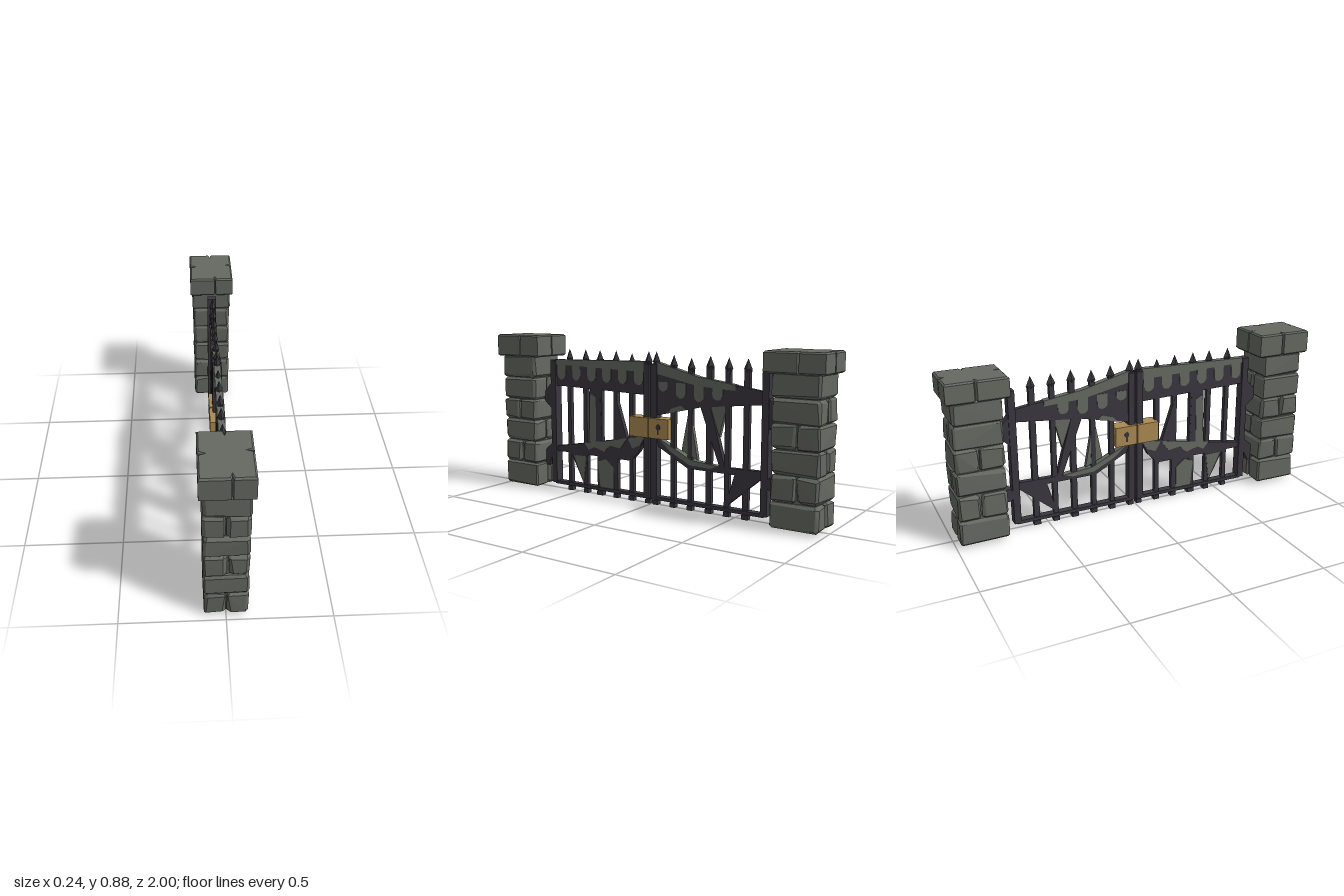
import * as THREE from 'three';
import { ConvexGeometry } from 'three/addons/geometries/ConvexGeometry.js';

export function createModel() {
  const root = new THREE.Group();
  root.name = 'stoneGate';
  const material = (name, color) => Object.assign(new THREE.MeshStandardMaterial({ color, flatShading: true }), { name });
  const stone = material('stone', 0x666962);
  const iron = material('iron', 0x3a383f);
  const brass = material('brass', 0xab8a52);

  let seed = 11;
  const rand = () => (seed = (seed * 16807) % 2147483647) / 2147483647;
  const jitter = (a) => (rand() - 0.5) * 2 * a;

  const add = (parent, name, geo, mat, x = 0, y = 0, z = 0) => {
    const m = new THREE.Mesh(geo, mat);
    m.name = name;
    m.position.set(x, y, z);
    parent.add(m);
    return m;
  };

  // Rough hewn block: every corner is cut off by an uneven chamfer
  const block = (parent, name, x0, x1, y0, y1, z0, z1) => {
    const pts = [];
    const h = [(x1 - x0) / 2, (y1 - y0) / 2, (z1 - z0) / 2];
    for (const sx of [-1, 1]) for (const sy of [-1, 1]) for (const sz of [-1, 1]) {
      const c = 0.009 + rand() * 0.012;
      const p = [h[0] - rand() * 0.006, h[1] - rand() * 0.005, h[2] - rand() * 0.006];
      for (let k = 0; k < 3; k++) {
        const q = p.map((v, i) => (i === k ? v : v - c * (0.5 + rand() * 0.6)));
        pts.push(new THREE.Vector3(q[0] * sx, q[1] * sy, q[2] * sz));
      }
    }
    add(parent, name, new ConvexGeometry(pts), stone, (x0 + x1) / 2, (y0 + y1) / 2, (z0 + z1) / 2);
  };

  // Flat piece drawn in (z, y) and thickened across x
  const extrudeZY = (shape, t) => {
    const g = new THREE.ExtrudeGeometry(shape, { depth: t, bevelEnabled: false, curveSegments: 6 });
    return g.translate(0, 0, -t / 2).rotateY(-Math.PI / 2);
  };
  const plate = (parent, name, pts, t, mat) =>
    add(parent, name, extrudeZY(new THREE.Shape(pts.map((p) => new THREE.Vector2(p[0], p[1]))), t), mat);

  // Pillars: six courses with alternating joints and a notched cap
  const pillar = (name, s, levels, capTop) => {
    const g = new THREE.Group();
    g.name = name;
    root.add(g);
    const zs = (a, b) => (s > 0 ? [a, b] : [-b, -a]);
    const [zi, zo] = zs(0.73, 0.98);
    const mid = (zi + zo) / 2;
    const top = levels[levels.length - 1];
    add(g, 'pillarCore', new THREE.BoxGeometry(0.17, top - 0.03, 0.2), stone, 0, top / 2 + 0.005, mid);
    for (let i = 0; i < levels.length - 1; i++) {
      const y0 = levels[i] + 0.001, y1 = levels[i + 1] + 0.003, w = 0.108 + jitter(0.003);
      if (i === 5) block(g, 'stoneBlock', -w, w, y0, y1, zi, zo);
      else if (i % 2 === 0) {
        const c = jitter(0.012);
        block(g, 'stoneBlock', -w, c, y0, y1, zi, zo);
        block(g, 'stoneBlock', c, w, y0, y1, zi, zo);
      } else {
        const c = mid + jitter(0.012);
        block(g, 'stoneBlock', -w, w, y0, y1, zi, c);
        block(g, 'stoneBlock', -w, w, y0, y1, c, zo);
      }
    }
    // Cap outline with chipped cracks in its rim
    const a = 0.112, b = 0.1445, n = 0.01;
    const rim = [[-a, -b], [0.01, -b], [0.02, -b + 0.03], [0.03, -b], [a, -b], [a, 0.01], [a - 0.03, 0.02],
      [a, 0.03], [a, b], [n, b], [0, b - 0.03], [-n, b], [-a, b], [-a, 0.02], [-a + 0.03, 0.005], [-a, -0.005]];
    const y0 = top - 0.008, bev = 0.008;
    const cap = new THREE.ExtrudeGeometry(new THREE.Shape(rim.map((p) => new THREE.Vector2(p[0], p[1]))),
      { depth: capTop - y0 - 2 * bev, bevelSize: bev, bevelThickness: bev, bevelSegments: 1 });
    cap.rotateX(-Math.PI / 2);
    add(g, 'pillarCap', cap, stone, 0, y0 + bev, s * 0.8475);
  };
  pillar('frontPillar', 1, [0.012, 0.147, 0.272, 0.395, 0.515, 0.64, 0.77], 0.885);
  pillar('backPillar', -1, [0.012, 0.14, 0.27, 0.39, 0.51, 0.63, 0.752], 0.848);

  // Leaf frame, spear bars and hinges; s = +1 front leaf, -1 back leaf
  const leaf = (name, s, bars) => {
    const g = new THREE.Group();
    g.name = name;
    root.add(g);
    add(g, 'outerPost', new THREE.BoxGeometry(0.05, 0.71, 0.036), iron, 0, 0.39, s * 0.667);
    add(g, 'innerPost', new THREE.BoxGeometry(0.046, 0.72, 0.036), iron, 0, 0.39, s * 0.023);
    add(g, 'bottomRail', new THREE.BoxGeometry(0.04, 0.018, 0.64), iron, 0, 0.037, s * 0.345);
    bars.forEach(([z, w, top]) => {
      add(g, 'spearBar', new THREE.BoxGeometry(0.024, top - 0.05, w), iron, 0, (top - 0.05) / 2, s * z);
      const tip = add(g, 'spearTip', new THREE.ConeGeometry(0.023, 0.052, 4), iron, 0, top - 0.026, s * z);
      const neck = add(g, 'spearNeck', new THREE.CylinderGeometry(0.023, 0.012, 0.022, 4), iron, 0, top - 0.063, s * z);
      tip.scale.x = neck.scale.x = 0.75;
      add(g, 'spearFoot', new THREE.BoxGeometry(0.03, 0.022, w + 0.006), iron, 0, 0.011, s * z);
    });
    // Pointed upper hinge and round lower hinge
    plate(g, 'upperHinge', [[s * 0.68, 0.62], [s * 0.735, 0.56], [s * 0.735, 0.51], [s * 0.68, 0.46]], 0.04, iron);
    if (s > 0) plate(g, 'lowerHinge', [[0.68, 0.27], [0.735, 0.22], [0.735, 0.13], [0.715, 0.13], [0.68, 0.2]], 0.04, iron);
    else add(g, 'lowerHinge', new THREE.CylinderGeometry(0.035, 0.035, 0.05, 10).rotateZ(Math.PI / 2), iron, 0, 0.2, -0.71);
    // Lock half
    add(g, 'lockPlate', new THREE.BoxGeometry(0.08, 0.106, 0.12), brass, 0, 0.415, s * 0.064);
    return g;
  };
  const front = leaf('frontLeaf', 1, [[0.56, 0.024, 0.81], [0.445, 0.026, 0.81], [0.345, 0.034, 0.81],
    [0.235, 0.026, 0.81], [0.13, 0.026, 0.8], [0.022, 0.024, 0.815]]);
  const back = leaf('backLeaf', -1, [[0.027, 0.024, 0.815], [0.135, 0.026, 0.8], [0.24, 0.026, 0.79],
    [0.35, 0.03, 0.805], [0.455, 0.026, 0.8], [0.56, 0.03, 0.8]]);

  // Keyhole on both faces of the back lock half
  for (const x of [-0.041, 0.041]) {
    const hole = add(back, 'keyhole', new THREE.CylinderGeometry(0.013, 0.013, 0.004, 10).rotateZ(Math.PI / 2), iron, x, 0.423, -0.062);
    hole.scale.y = 1.2;
    add(back, 'keyholeSlot', new THREE.BoxGeometry(0.004, 0.03, 0.01), iron, x, 0.4, -0.062);
  }

  // Scalloped pale tongue between two bars
  const tongue = (parent, z, top, bottom, r) => {
    const s = new THREE.Shape();
    s.moveTo(z - r, top);
    s.lineTo(z - r, bottom + r);
    s.absarc(z, bottom + r, r, Math.PI, 2 * Math.PI, false);
    s.lineTo(z + r, top);
    add(parent, 'paleTongue', extrudeZY(s, 0.034), stone);
  };
  const T = 0.028, P = 0.034;

  // Front leaf boards
  plate(front, 'upperBeam', [[0.65, 0.745], [0.03, 0.76], [0.03, 0.585], [0.65, 0.6]], T, iron);
  plate(front, 'paleTopEdge', [[0.65, 0.747], [0.04, 0.762], [0.04, 0.705], [0.65, 0.72]], P, stone);
  for (const z of [0.61, 0.502, 0.395, 0.29, 0.183, 0.078]) tongue(front, z, 0.73, 0.635, 0.029);
  plate(front, 'lowerBeam', [[0.65, 0.22], [0.65, 0.25], [0.45, 0.285], [0.22, 0.325], [0.03, 0.37],
    [0.075, 0.28], [0.13, 0.22]], T, iron);
  plate(front, 'paleLowerPatch', [[0.45, 0.287], [0.22, 0.327], [0.15, 0.345], [0.2, 0.28], [0.27, 0.29],
    [0.31, 0.25], [0.38, 0.27], [0.42, 0.25]], P, stone);
  plate(front, 'paleLowerPatch', [[0.15, 0.342], [0.03, 0.372], [0.07, 0.31], [0.12, 0.29]], P, stone);
  plate(front, 'hangingShard', [[0.55, 0.22], [0.46, 0.05], [0.43, 0.22]], 0.026, iron);
  plate(front, 'paleShard', [[0.53, 0.21], [0.46, 0.06], [0.44, 0.21]], 0.03, stone);
  plate(front, 'lowerPlank', [[0.36, 0.23], [0.345, 0.04], [0.23, 0.04], [0.22, 0.23]], 0.022, iron);
  plate(front, 'paleLowerPlank', [[0.355, 0.19], [0.34, 0.04], [0.25, 0.045], [0.25, 0.17], [0.3, 0.21]], 0.03, stone);
  plate(front, 'widePlank', [[0.41, 0.6], [0.42, 0.26], [0.33, 0.29], [0.34, 0.6]], 0.026, iron);
  plate(front, 'paleWidePlank', [[0.405, 0.57], [0.42, 0.29], [0.37, 0.28], [0.365, 0.55]], 0.03, stone);
  plate(front, 'brokenSplinter', [[0.245, 0.6], [0.245, 0.32], [0.16, 0.34]], 0.026, iron);

  // Back leaf boards
  plate(back, 'upperBeam', [[-0.03, 0.76], [-0.29, 0.695], [-0.65, 0.645], [-0.65, 0.58], [-0.31, 0.545], [-0.03, 0.48]], T, iron);
  plate(back, 'paleTopEdge', [[-0.04, 0.76], [-0.29, 0.697], [-0.5, 0.668], [-0.5, 0.64], [-0.29, 0.65], [-0.04, 0.7]], P, stone);
  [[0.08, 0.61], [0.187, 0.58], [0.295, 0.57], [0.4, 0.585]].forEach(([z, b]) => tongue(back, -z, 0.66, b, 0.029));
  plate(back, 'paleLowerEdge', [[-0.1, 0.496], [-0.22, 0.524], [-0.19, 0.545], [-0.13, 0.525]], P, stone);
  plate(back, 'lowerBeam', [[-0.03, 0.37], [-0.25, 0.265], [-0.42, 0.25], [-0.65, 0.255], [-0.65, 0.22], [-0.23, 0.22], [-0.05, 0.315]], T, iron);
  plate(back, 'paleLowerPatch', [[-0.05, 0.362], [-0.25, 0.267], [-0.41, 0.252], [-0.36, 0.235], [-0.24, 0.24], [-0.12, 0.3]], P, stone);
  plate(back, 'hangingShard', [[-0.65, 0.22], [-0.45, 0.05], [-0.5, 0.22]], 0.026, iron);
  plate(back, 'paleSplinter', [[-0.235, 0.54], [-0.19, 0.31], [-0.285, 0.27]], 0.022, stone);
  plate(back, 'brokenSplinter', [[-0.3, 0.55], [-0.36, 0.55], [-0.445, 0.25], [-0.415, 0.25]], 0.028, iron);
  plate(back, 'paleUpperShard', [[-0.36, 0.55], [-0.45, 0.56], [-0.41, 0.4]], 0.022, stone);

  return root;
}
